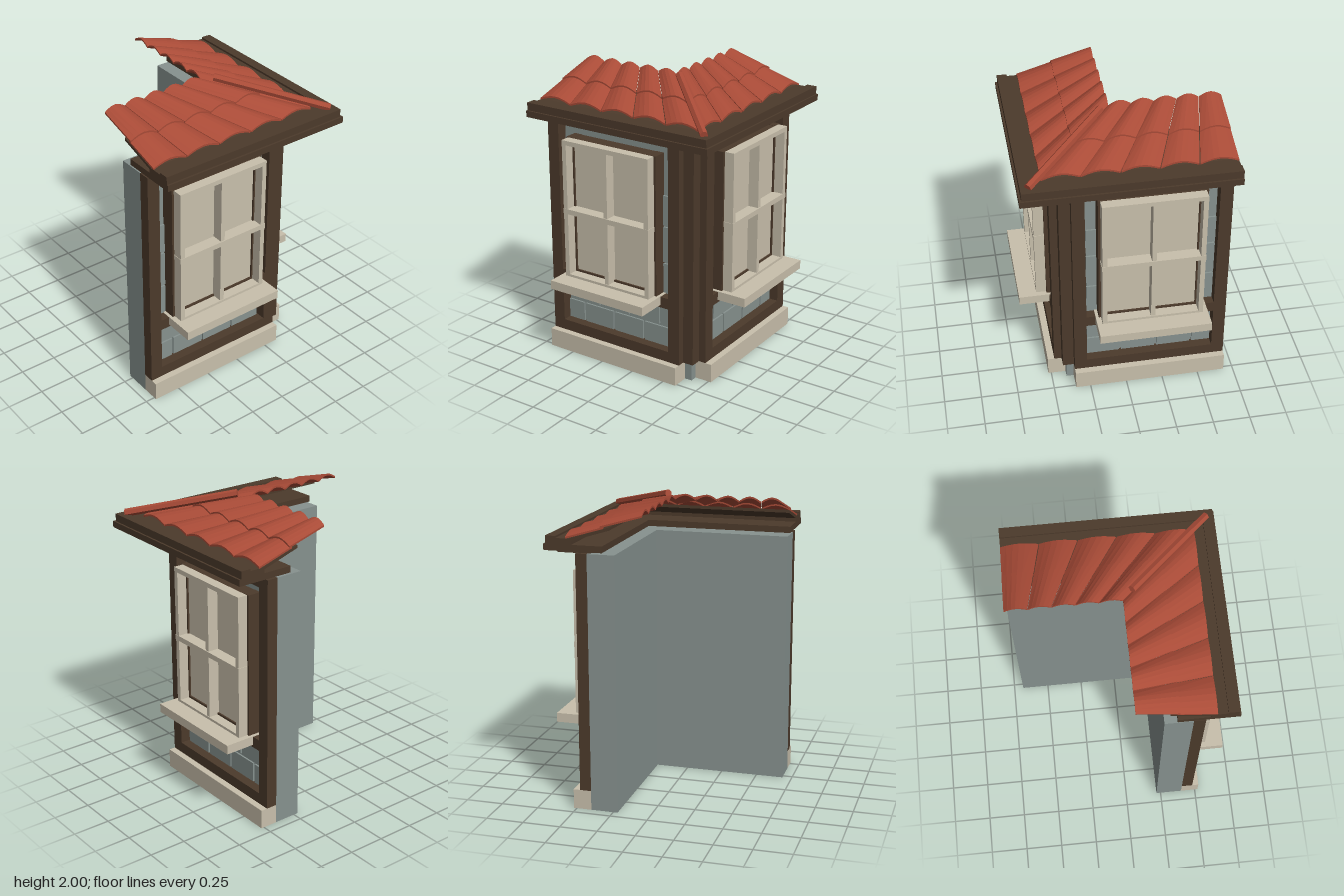
import * as THREE from 'three';

const material = (name, color) => {
  const m = new THREE.MeshStandardMaterial({ color });
  m.name = name;
  return m;
};

const END = -0.685; // open end of each wing

// Roof cross-section at depth z: arched top left to right, then the underside back again
function section(z, x0, x1, y, arch, thick, n) {
  const top = [], under = [];
  for (let k = 0; k <= n; k++) {
    const u = k / n, x = x0 + (x1 - x0) * u, h = y + arch * Math.sin(Math.PI * u);
    top.push([x, h, z]);
    under.unshift([x, h - thick, z]);
  }
  return top.concat(under);
}

// Closed solid between two such sections (a at the smaller z)
function loft(a, b) {
  const pos = [], m = a.length;
  const quad = (p, q, r, s) => pos.push(...p, ...q, ...r, ...p, ...r, ...s);
  for (let i = 0; i < m; i++) {
    const j = (i + 1) % m;
    quad(a[i], b[i], b[j], a[j]);
  }
  for (let k = 0; k < m / 2 - 1; k++) {
    quad(b[m - 1 - k], b[m - 2 - k], b[k + 1], b[k]);
    quad(a[k], a[k + 1], a[m - 2 - k], a[m - 1 - k]);
  }
  const g = new THREE.BufferGeometry();
  g.setAttribute('position', new THREE.Float32BufferAttribute(pos, 3));
  g.computeVertexNormals();
  return g;
}

// Mirror across the corner diagonal (swap x and z), keeping faces outward
function mirrored(geometry) {
  const src = geometry.index ? geometry.toNonIndexed() : geometry;
  const p = src.attributes.position, out = [];
  for (let i = 0; i < p.count; i += 3) {
    for (const j of [i, i + 2, i + 1]) out.push(p.getZ(j), p.getY(j), p.getX(j));
  }
  const g = new THREE.BufferGeometry();
  g.setAttribute('position', new THREE.Float32BufferAttribute(out, 3));
  g.computeVertexNormals();
  return g;
}

export function createModel() {
  const wood = material('dark timber', 0x4c3a2b);
  const cream = material('cream stone', 0xc9c0ac);
  const plaster = material('blue grey wall', 0x87928f);
  const clay = material('red clay', 0xa94b37);

  const model = new THREE.Group();
  model.name = 'cornerHouse';
  const frontWing = new THREE.Group(), sideWing = new THREE.Group();
  frontWing.name = 'frontWing';
  sideWing.name = 'sideWing';
  model.add(frontWing, sideWing);

  const add = (parent, name, geometry, mat) => {
    const mesh = new THREE.Mesh(geometry, mat);
    mesh.name = name;
    parent.add(mesh);
  };
  const both = (name, geometry, mat) => {
    add(frontWing, name, geometry, mat);
    add(sideWing, name, mirrored(geometry), mat);
  };
  const block = (x0, x1, y0, y1, z0, z1) =>
    new THREE.BoxGeometry(x1 - x0, y1 - y0, z1 - z0)
      .translate((x0 + x1) / 2, (y0 + y1) / 2, (z0 + z1) / 2);
  const box = (name, mat, ...s) => both(name, block(...s), mat);

  // L-shaped wall
  const plan = new THREE.Shape(
    [[END, -0.4], [0.4, -0.4], [0.4, -END], [0.22, -END], [0.22, -0.22], [END, -0.22]]
      .map(([x, y]) => new THREE.Vector2(x, y)));
  add(model, 'wall',
    new THREE.ExtrudeGeometry(plan, { depth: 1.7, bevelEnabled: false }).rotateX(-Math.PI / 2), plaster);

  // Plinth and timber frame
  box('plinth', cream, END, 0.35, 0, 0.13, 0.4, 0.52);
  add(model, 'cornerPost', block(0.35, 0.425, 0.13, 1.7, 0.35, 0.425), wood);
  box('endPost', wood, END, -0.6, 0.13, 1.7, 0.4, 0.475);
  box('innerPost', wood, 0.265, 0.35, 0.13, 1.7, 0.4, 0.475);
  for (const [name, y0, y1] of [['bottomRail', 0.13, 0.205], ['middleRail', 0.515, 0.59], ['topRail', 1.63, 1.7]]) {
    box(name, wood, -0.6, 0.265, y0, y1, 0.4, 0.475);
  }

  // Raised bricks: two courses below the window, strips beside it
  for (const [y0, y1, start] of [[0.205, 0.34, -0.705], [0.355, 0.512, -0.573]]) {
    for (let x = start; x < 0.25; x += 0.246) {
      box('brick', plaster, Math.max(x, -0.6), Math.min(x + 0.232, 0.255), y0, y1, 0.4, 0.412);
    }
  }
  for (const [y0, y1] of [[0.59, 0.8], [0.81, 1.055], [1.065, 1.27]]) {
    box('brick', plaster, -0.6, -0.5, y0, y1, 0.4, 0.412);
    box('brick', plaster, 0.15, 0.253, y0, y1, 0.4, 0.412);
  }

  // Window: timber surround, pane, glazing bars and sill
  box('windowSurroundLeft', wood, -0.52, -0.463, 0.59, 1.555, 0.4, 0.492);
  box('windowSurroundRight', wood, 0.128, 0.185, 0.59, 1.555, 0.4, 0.492);
  box('windowSurroundTop', wood, -0.463, 0.128, 1.503, 1.553, 0.4, 0.492);
  box('windowSurroundBottom', wood, -0.463, 0.128, 0.59, 0.625, 0.4, 0.492);
  box('windowPane', cream, -0.463, 0.128, 0.625, 1.503, 0.4, 0.48);
  for (const [x0, x1] of [[-0.505, -0.473], [0.138, 0.17]]) {
    box('windowStile', cream, x0, x1, 0.595, 1.553, 0.492, 0.56);
  }
  box('windowHead', cream, -0.473, 0.138, 1.522, 1.553, 0.492, 0.56);
  box('windowFoot', cream, -0.473, 0.138, 0.595, 0.612, 0.492, 0.56);
  box('windowMullion', cream, -0.184, -0.154, 0.612, 1.522, 0.48, 0.555);
  box('windowTransom', cream, -0.508, 0.173, 1.045, 1.08, 0.48, 0.562);
  box('windowSill', cream, -0.54, 0.205, 0.533, 0.594, 0.4, 0.68);

  // Eaves: rafters, soffit, fascia
  for (const x of [-0.66, -0.41, -0.16, 0.09, 0.33]) {
    box('rafter', wood, x, x + 0.06, 1.698, 1.715, 0.38, 0.6);
  }
  box('soffit', wood, END, 0.685, 1.71, 1.752, 0.3, 0.685);
  box('fascia', wood, END, 0.67, 1.752, 1.803, 0.605, 0.672);
  box('eaveBoard', wood, END, 0.61, 1.752, 1.79, 0.5, 0.605);

  // Roof: each wing fans out from the inner corner to the eave
  const slope = z => 1.955 - (z - 0.04) * 0.31;
  both('roofBoard', loft(
    section(0.25, END, 0.25, slope(0.25) - 0.016, 0, 0.02, 1),
    section(0.53, END, 0.53, slope(0.53) - 0.016, 0, 0.02, 1)), wood);
  const tileSection = (z, i, lift) => {
    const step = (z - END) / 5;
    return section(z, END + step * (i + (i ? 0.012 : 0)), END + step * (i + 0.988),
      slope(z) + lift, 0.03, 0.012, 6);
  };
  for (let i = 0; i < 5; i++) {
    both('upperTile', loft(tileSection(0.04, i, 0), tileSection(0.31, i, 0.007)), clay);
    both('lowerTile', loft(tileSection(0.29, i, -0.004), tileSection(0.54, i, 0)), clay);
  }

  // Hip cap along the diagonal
  const a = new THREE.Vector3(0.1, 1.974, 0.1), b = new THREE.Vector3(0.625, 1.812, 0.625);
  const dir = b.clone().sub(a);
  const cap = new THREE.CylinderGeometry(0.026, 0.026, dir.length(), 6).toNonIndexed();
  cap.computeVertexNormals();
  cap.applyQuaternion(new THREE.Quaternion().setFromUnitVectors(
    new THREE.Vector3(0, 1, 0), dir.clone().normalize()));
  const mid = a.clone().add(b).multiplyScalar(0.5);
  add(model, 'hipCap', cap.translate(mid.x, mid.y, mid.z), clay);

  return model;
}
